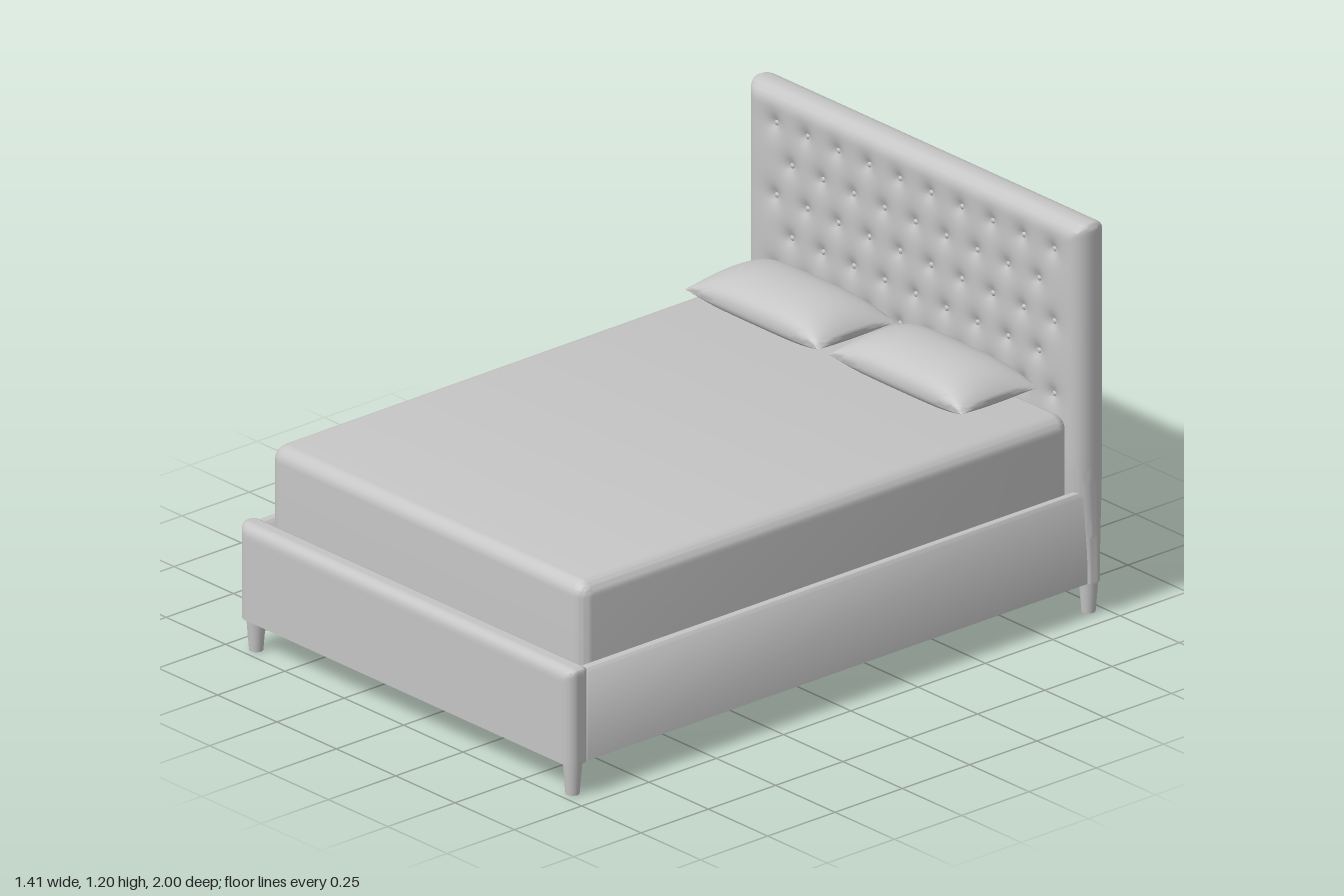
import * as THREE from 'three';
import { mergeVertices, toCreasedNormals } from 'three/addons/utils/BufferGeometryUtils.js';
import { RoundedBoxGeometry } from 'three/addons/geometries/RoundedBoxGeometry.js';

const fabric = new THREE.MeshStandardMaterial({ color: 0xc4c4c4 });
fabric.name = 'grey fabric';

const { clamp, smoothstep } = THREE.MathUtils;

// Move every vertex by a rule, then rebuild smooth normals with sharp edges kept
function reshape(geometry, rule, crease = 1.0) {
  const pos = geometry.attributes.position;
  const p = new THREE.Vector3();
  for (let i = 0; i < pos.count; i++) {
    p.fromBufferAttribute(pos, i);
    rule(p);
    pos.setXYZ(i, p.x, p.y, p.z);
  }
  geometry.deleteAttribute('uv');
  geometry.deleteAttribute('normal');
  return toCreasedNormals(mergeVertices(geometry, 1e-5), crease);
}

// Upholstered panel standing on y = 0: half-round top and ends, nearly square
// corners from the front, flat underside; finish(p, isFront) shapes it further
function paddedPanel(w, h, d, r, segments, finish = () => {}) {
  const g = new THREE.BoxGeometry(w, h, d, ...segments).translate(0, h / 2, 0);
  const inner = new THREE.Vector3(), off = new THREE.Vector3();
  return reshape(g, (p) => {
    const isFront = p.z > d / 2 - 1e-4;
    inner.set(clamp(p.x, r - w / 2, w / 2 - r), Math.min(p.y, h - r), clamp(p.z, r - d / 2, d / 2 - r));
    off.subVectors(p, inner);
    const ax = Math.abs(off.x), ay = Math.abs(off.y), az = Math.abs(off.z);
    const reach = Math.max(ax, ay, az);
    const edge = Math.pow(ax ** 6 + ay ** 6, 1 / 6);
    if (reach > 0) p.copy(inner).addScaledVector(off, reach / Math.hypot(edge, az));
    finish(p, isFront);
  });
}

// Tuft lattice: staggered rows of buttons
const STEP_X = 0.065, STEP_Y = 0.11, TOP_Y = 1.09, ROWS = 5;
const HEAD_Z = -0.9425, HEAD_BASE = 0.1;
const buttons = [];
for (let b = 0; b < ROWS; b++) {
  const last = b % 2 ? 8 : 9;
  for (let a = -last; a <= last; a += 2) buttons.push([a * STEP_X, TOP_Y - b * STEP_Y]);
}

function tuftDepth(x, y) {
  let depth = 0;
  for (const [bx, by] of buttons) depth += 0.026 * Math.exp(-Math.hypot(x - bx, y - by) / 0.024);
  return depth;
}

// Headboard: dimpled front, narrowing towards the floor
function headboardGeometry() {
  return paddedPanel(1.414, 1.095, 0.115, 0.052, [124, 96, 10], (p, isFront) => {
    const y = p.y + HEAD_BASE;
    if (isFront) p.z -= tuftDepth(p.x, y);
    const low = 1 - smoothstep(y, 0.1, 0.5);
    p.z = p.z * (1 - 0.4 * low) - 0.008 * low;
  });
}

// Rounded block whose underside is cut flat
function flatBottomBlock(w, h, d, r, finish = () => {}) {
  const g = new RoundedBoxGeometry(w, h + r, d, 6, r).translate(0, (h - r) / 2, 0);
  return reshape(g, (p) => {
    p.y = Math.max(p.y, 0);
    finish(p);
  });
}

// Stuffed pillow with a thin seam, a broad flat top and tapering ends
function pillowGeometry() {
  const g = new THREE.BoxGeometry(2, 2, 2, 36, 1, 24);
  return reshape(g, (p) => {
    const u = Math.sin(p.x * Math.PI / 2), v = Math.sin(p.z * Math.PI / 2);
    const swell = Math.pow(Math.max(0, 1 - u ** 4), 0.75) * Math.pow(Math.max(0, 1 - v * v), 0.42);
    p.set(
      0.281 * u * (0.98 + 0.02 * v * v),
      (p.y > 0 ? 0.08 : -0.05) * swell,
      0.143 * v * (0.98 + 0.02 * u * u));
  }, 1.2);
}

export function createModel() {
  const bed = new THREE.Group();
  bed.name = 'bed';
  const add = (name, geometry, x = 0, y = 0, z = 0, parent = bed) => {
    const mesh = new THREE.Mesh(geometry, fabric);
    mesh.name = name;
    mesh.position.set(x, y, z);
    parent.add(mesh);
  };
  const group = (name) => {
    const g = new THREE.Group();
    g.name = name;
    bed.add(g);
    return g;
  };

  // Headboard and its sunken buttons
  add('headboard', headboardGeometry(), 0, HEAD_BASE, HEAD_Z);
  const tufts = group('headboardButtons');
  const buttonGeo = new THREE.SphereGeometry(0.01, 12, 8);
  for (const [x, y] of buttons) add('button', buttonGeo, x, y, HEAD_Z + 0.034, tufts);

  // Frame
  add('footboard', paddedPanel(1.404, 0.29, 0.08, 0.034, [124, 26, 8]), 0, 0.1, 0.96);
  const railGeo = flatBottomBlock(0.034, 0.28, 1.87, 0.01);
  for (const side of [-1, 1]) add(side > 0 ? 'leftRail' : 'rightRail', railGeo, side * 0.679, 0.1, 0);

  // Tapered legs
  const legGeo = new THREE.CylinderGeometry(0.029, 0.02, 0.11, 24);
  for (const x of [-0.666, 0.666]) {
    add('frontLeg', legGeo, x, 0.055, 0.96);
    add('backLeg', legGeo, x, 0.055, -0.957);
  }

  // Slatted base with a row of centre pegs
  const slats = group('slats');
  const slatGeo = new RoundedBoxGeometry(1.3, 0.02, 0.052, 2, 0.009);
  const pegGeo = new THREE.CylinderGeometry(0.012, 0.012, 0.016, 12);
  const COUNT = 21;
  for (let i = 0; i < COUNT; i++) {
    const z = -0.875 + i * (1.75 / (COUNT - 1));
    add('slat', slatGeo, 0, 0.165, z, slats);
    add('slatPeg', pegGeo, 0, 0.15, z, slats);
  }

  // Mattress resting on the slats, softly crowned, slightly wider at the head
  add('mattress', flatBottomBlock(1.322, 0.435, 1.81, 0.045, (p) => {
    p.x *= 1 + 0.012 * smoothstep(-p.z, -0.9, 0.9);
    if (p.y > 0.43) p.y += 0.006 * Math.cos(p.x * 2) * Math.cos(p.z);
  }), 0, 0.18, 0.014);

  // Pillows
  const pillowGeo = pillowGeometry();
  add('rightPillow', pillowGeo, -0.333, 0.666, -0.73);
  add('leftPillow', pillowGeo, 0.27, 0.666, -0.73);
  return bed;
}
